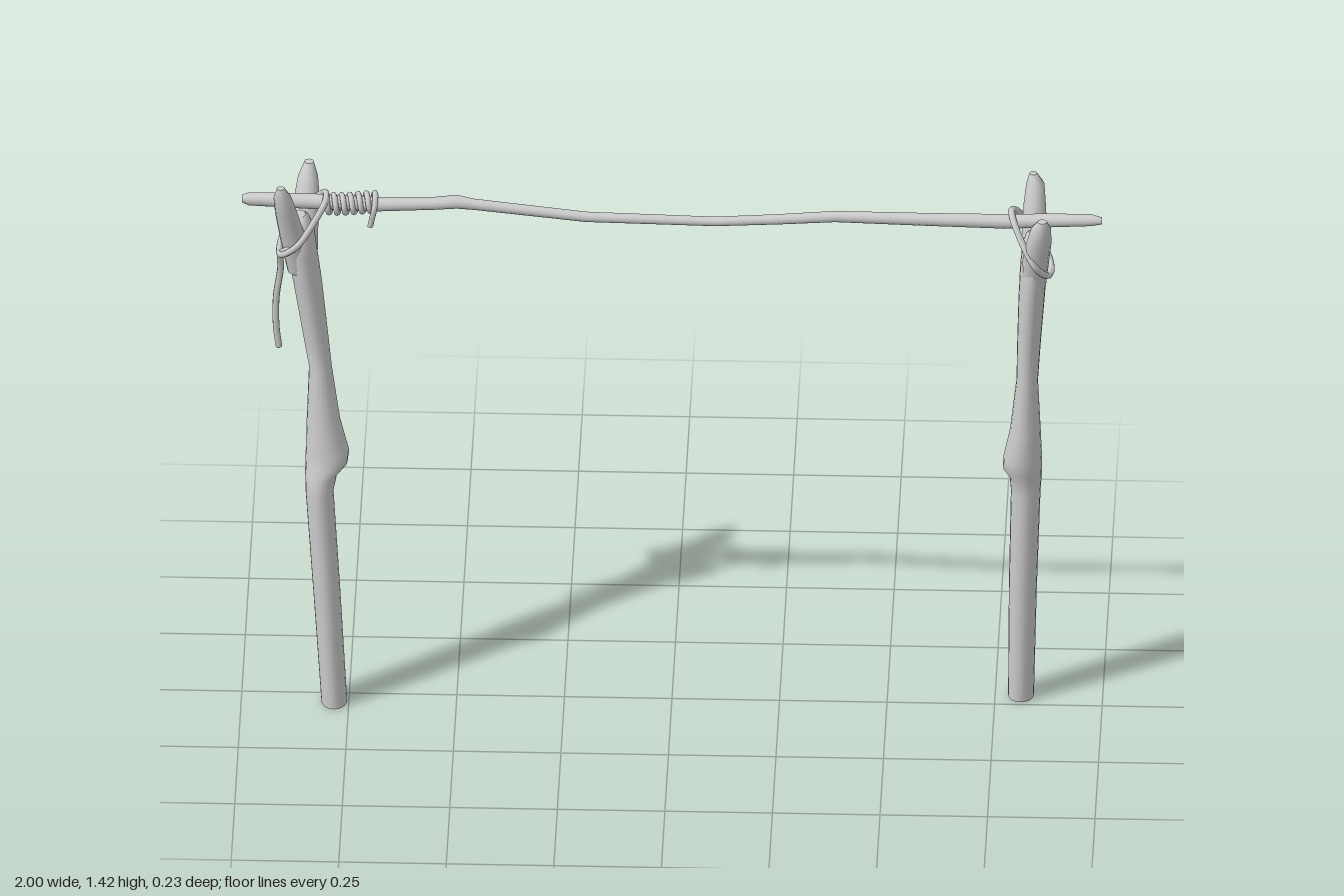
import * as THREE from 'three';

const wood = new THREE.MeshStandardMaterial({ color: 0xcccccc });
wood.name = 'plain light grey';

const V = (x, y, z) => new THREE.Vector3(x, y, z);

// Joins oval rings into a closed solid. Each ring is { c, a, b }: centre and two radius vectors.
function loft(rings, n = 16) {
  const pos = [], idx = [];
  const addRing = ({ c, a, b }) => {
    const start = pos.length / 3;
    for (let j = 0; j < n; j++) {
      const t = (j / n) * Math.PI * 2;
      const p = c.clone().addScaledVector(a, Math.cos(t)).addScaledVector(b, Math.sin(t));
      pos.push(p.x, p.y, p.z);
    }
    return start;
  };
  rings.forEach(addRing);
  for (let i = 0; i < rings.length - 1; i++) {
    for (let j = 0; j < n; j++) {
      const k = (j + 1) % n, p = i * n, q = p + n;
      idx.push(p + j, p + k, q + k, p + j, q + k, q + j);
    }
  }
  // flat ends with their own vertices
  const lo = addRing(rings[0]), hi = addRing(rings[rings.length - 1]);
  for (let j = 1; j < n - 1; j++) {
    idx.push(lo, lo + j + 1, lo + j, hi, hi + j, hi + j + 1);
  }
  const g = new THREE.BufferGeometry();
  g.setAttribute('position', new THREE.Float32BufferAttribute(pos, 3));
  g.setIndex(idx);
  g.computeVertexNormals();
  return g;
}

// Upright ring from its extents: y, x range, z range
const span = ([y, x0, x1, z0, z1]) => ({
  c: V((x0 + x1) / 2, y, (z0 + z1) / 2),
  a: V(0, 0, (z1 - z0) / 2),
  b: V((x1 - x0) / 2, 0, 0),
});
// Upright round ring: x, y, z, radius
const round = ([x, y, z, r]) => ({ c: V(x, y, z), a: V(0, 0, r), b: V(r, 0, 0) });
// Ring across the bar: x, y, z, radius
const across = ([x, y, z, r]) => ({ c: V(x, y, z), a: V(0, r, 0), b: V(0, 0, r) });

function add(group, name, geometry) {
  const m = new THREE.Mesh(geometry, wood);
  m.name = name;
  group.add(m);
}

function rope(points, r, closed = false, steps = 48) {
  const curve = new THREE.CatmullRomCurve3(points.map(p => V(...p)), closed);
  const g = new THREE.TubeGeometry(curve, steps, r, 7, closed);
  if (closed) return g;
  // taper the loose ends shut
  const p = g.attributes.position;
  for (const i of [0, steps]) {
    const c = curve.getPointAt(i / steps);
    for (let j = 0; j < 8; j++) p.setXYZ(i * 8 + j, c.x, c.y, c.z);
  }
  return g;
}

function forkedPost(name, trunk, longProng, shortProng, loop) {
  const g = new THREE.Group();
  g.name = name;
  add(g, 'trunk', loft(trunk.map(span), 20));
  add(g, 'longProng', loft(longProng.map(round), 12));
  add(g, 'shortProng', loft(shortProng.map(round), 12));
  add(g, 'lashingLoop', rope(loop, 0.008, true, 64));
  return g;
}

export function createModel() {
  const model = new THREE.Group();
  model.name = 'stickFrame';

  // left post, with its knot facing inward
  model.add(forkedPost('leftPost',
    [
      [0, 0.78, 0.84, -0.081, -0.01],
      [0.3, 0.782, 0.847, -0.078, 0.003],
      [0.57, 0.787, 0.856, -0.074, 0.016],
      [0.615, 0.784, 0.859, -0.069, 0.024],
      [0.64, 0.769, 0.86, -0.063, 0.033],
      [0.67, 0.77, 0.86, -0.059, 0.036],
      [0.75, 0.786, 0.857, -0.05, 0.038],
      [0.89, 0.801, 0.851, -0.03, 0.037],
      [1.0, 0.803, 0.858, -0.032, 0.047],
      [1.12, 0.806, 0.867, -0.038, 0.061],
      [1.21, 0.81, 0.873, -0.045, 0.073],
      [1.26, 0.814, 0.873, -0.036, 0.066],
      [1.29, 0.822, 0.866, -0.012, 0.044],
      [1.3, 0.832, 0.858, 0.004, 0.032],
    ],
    [
      [0.842, 1.16, -0.002, 0.028], [0.842, 1.26, -0.02, 0.03],
      [0.842, 1.34, -0.042, 0.026], [0.843, 1.39, -0.053, 0.021], [0.838, 1.415, -0.058, 0.009],
    ],
    [
      [0.842, 1.16, 0.03, 0.028], [0.847, 1.24, 0.052, 0.031],
      [0.856, 1.31, 0.077, 0.029], [0.861, 1.355, 0.09, 0.023], [0.864, 1.378, 0.098, 0.011],
    ],
    [
      [0.882, 1.195, 0.012], [0.874, 1.205, 0.055], [0.845, 1.25, 0.088], [0.812, 1.305, 0.06],
      [0.793, 1.34, 0.025], [0.79, 1.345, -0.008], [0.81, 1.31, -0.046],
      [0.845, 1.25, -0.056], [0.874, 1.205, -0.035],
    ]));

  // right post, turned the opposite way
  model.add(forkedPost('rightPost',
    [
      [0, -0.814, -0.754, -0.008, 0.074],
      [0.3, -0.833, -0.77, -0.012, 0.073],
      [0.57, -0.851, -0.786, -0.018, 0.072],
      [0.615, -0.852, -0.777, -0.025, 0.067],
      [0.64, -0.852, -0.754, -0.032, 0.061],
      [0.67, -0.851, -0.75, -0.035, 0.057],
      [0.75, -0.849, -0.771, -0.037, 0.048],
      [0.89, -0.844, -0.791, -0.037, 0.03],
      [1.0, -0.862, -0.802, -0.047, 0.034],
      [1.12, -0.881, -0.814, -0.059, 0.042],
      [1.21, -0.897, -0.826, -0.071, 0.052],
      [1.26, -0.9, -0.832, -0.064, 0.046],
      [1.29, -0.89, -0.842, -0.04, 0.026],
      [1.3, -0.882, -0.852, -0.026, 0.01],
    ],
    [
      [-0.866, 1.16, 0.012, 0.028], [-0.881, 1.26, 0.029, 0.03],
      [-0.895, 1.34, 0.054, 0.026], [-0.903, 1.39, 0.068, 0.021], [-0.907, 1.42, 0.076, 0.009],
    ],
    [
      [-0.853, 1.16, -0.025, 0.028], [-0.855, 1.24, -0.05, 0.031],
      [-0.851, 1.31, -0.077, 0.029], [-0.849, 1.355, -0.091, 0.023], [-0.847, 1.388, -0.099, 0.011],
    ],
    [
      [-0.912, 1.215, 0], [-0.907, 1.22, 0.045], [-0.87, 1.255, 0.064], [-0.83, 1.31, 0.042],
      [-0.806, 1.348, 0.015], [-0.806, 1.348, -0.026], [-0.828, 1.31, -0.07],
      [-0.865, 1.26, -0.088], [-0.902, 1.222, -0.06],
    ]));

  // crooked crossbar with a small knot
  add(model, 'crossbar', loft([
    [-1, 1.335, -0.015, 0.009], [-0.985, 1.334, -0.015, 0.015], [-0.85, 1.334, -0.01, 0.018],
    [-0.69, 1.331, -0.006, 0.017], [-0.55, 1.335, -0.008, 0.015], [-0.5, 1.339, -0.01, 0.016],
    [-0.46, 1.334, -0.008, 0.013], [-0.2, 1.31, 0, 0.012], [0.1, 1.306, 0.004, 0.011],
    [0.25, 1.315, 0.004, 0.012], [0.38, 1.325, 0.004, 0.013], [0.6, 1.322, 0.005, 0.015],
    [0.78, 1.321, 0.006, 0.017], [0.88, 1.327, 0.008, 0.016],
    [0.975, 1.331, 0.01, 0.014], [1, 1.33, 0.011, 0.008],
  ].map(across), 12));

  // cord wound around the bar, ending in a short tail
  const coil = [];
  const turns = 6;
  for (let i = 0; i <= turns * 8; i++) {
    const t = (i / 8) * Math.PI * 2;
    const r = 0.021 + 0.003 * Math.sin(i * 0.7);
    coil.push([-0.805 + 0.115 * i / (turns * 8), 1.332 + r * Math.cos(t), -0.008 + r * Math.sin(t)]);
  }
  coil.push([-0.692, 1.33, 0.016], [-0.698, 1.3, 0.014], [-0.702, 1.278, 0.012]);
  add(model, 'windingCord', rope(coil, 0.007, false, 240));

  // loose end hanging beside the post
  add(model, 'hangingCord', rope([
    [-0.885, 1.245, 0.058], [-0.908, 1.215, 0.03], [-0.91, 1.16, 0.012], [-0.92, 1.08, 0.008],
    [-0.92, 1.0, 0.006], [-0.913, 0.94, 0.005],
  ], 0.008));

  return model;
}
